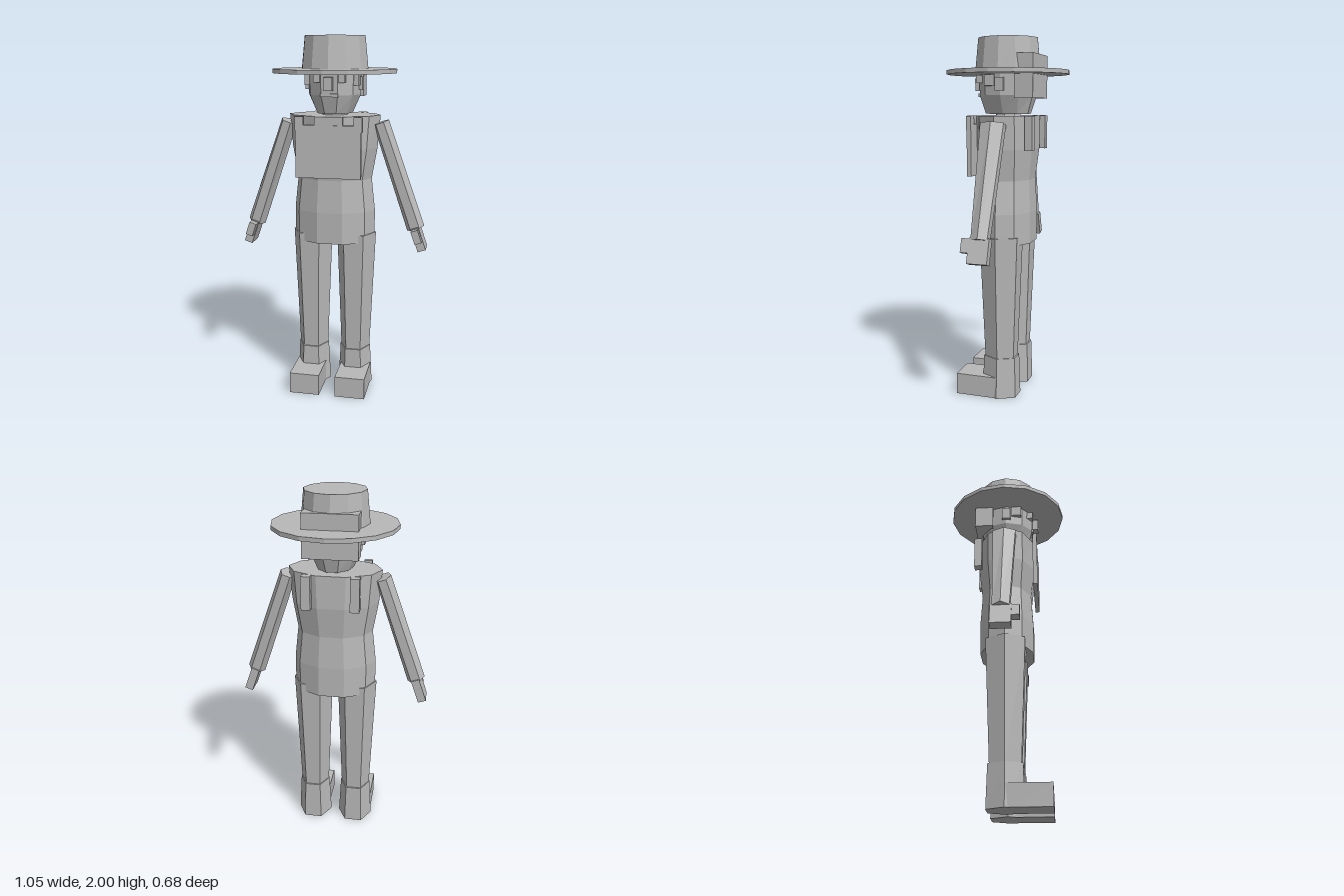
import * as THREE from 'three';

const grey = new THREE.MeshStandardMaterial({ color: 0xb8b8b8, flatShading: true });
grey.name = 'plain grey';

// Faceted solid through rings [y, radiusX, radiusZ, centreX], listed top to bottom
function loft(name, sides, rings) {
  const rows = rings.length - 1;
  const geo = new THREE.CylinderGeometry(1, 1, 1, sides, rows, false, Math.PI / 2);
  const p = geo.attributes.position;
  for (let i = 0; i < p.count; i++) {
    const [y, rx, rz, cx = 0] = rings[Math.round((0.5 - p.getY(i)) * rows)];
    p.setXYZ(i, cx + p.getX(i) * rx, y, p.getZ(i) * rz);
  }
  geo.computeVertexNormals();
  const mesh = new THREE.Mesh(geo, grey);
  mesh.name = name;
  return mesh;
}

// Box given by its limits on each axis
function box(name, x0, x1, y0, y1, z0, z1) {
  const mesh = new THREE.Mesh(new THREE.BoxGeometry(x1 - x0, y1 - y0, z1 - z0), grey);
  mesh.position.set((x0 + x1) / 2, (y0 + y1) / 2, (z0 + z1) / 2);
  mesh.name = name;
  return mesh;
}

// Box placed between mirrored limits on one side
function sideBox(name, s, x0, x1, ...rest) {
  return box(name, Math.min(s * x0, s * x1), Math.max(s * x0, s * x1), ...rest);
}

function createArm(s) {
  const arm = new THREE.Group();
  arm.name = s > 0 ? 'leftArm' : 'rightArm';
  // Built hanging straight down from the shoulder, then swung outwards
  arm.add(
    loft('sleeve', 6, [[0, 0.045, 0.075], [-0.62, 0.05, 0.052]]),
    box('hand', -0.023, 0.023, -0.745, -0.61, -0.055, 0.055),
    sideBox('thumb', s, -0.02, 0.02, -0.69, -0.615, 0.05, 0.097)
  );
  arm.position.set(s * 0.258, 1.54, 0);
  arm.rotation.z = s * 0.335;
  return arm;
}

function createLeg(s) {
  const leg = new THREE.Group();
  leg.name = s > 0 ? 'leftLeg' : 'rightLeg';
  leg.add(
    loft('trouser', 6, [[0.92, 0.112, 0.125, s * 0.126], [0.21, 0.083, 0.095, s * 0.124]]),
    loft('boot', 6, [[0.23, 0.088, 0.105, s * 0.124], [0, 0.1, 0.112, s * 0.124]]),
    sideBox('toe', s, 0.046, 0.216, 0, 0.12, 0, 0.24)
  );
  return leg;
}

export function createModel() {
  const model = new THREE.Group();
  model.name = 'figureInHat';

  // Body
  model.add(
    loft('torso', 10, [
      [1.58, 0.255, 0.168], [1.4, 0.24, 0.168], [1.23, 0.21, 0.147],
      [1.05, 0.23, 0.158], [0.875, 0.23, 0.155]
    ]),
    box('chestPanel', -0.18, 0.176, 1.25, 1.535, 0.157, 0.182),
    box('collar', -0.078, 0.076, 1.535, 1.58, 0.15, 0.178),
    loft('neck', 8, [[1.62, 0.072, 0.072], [1.55, 0.072, 0.072]])
  );

  // Head, face and hat
  model.add(
    loft('head', 10, [[1.82, 0.148, 0.163], [1.69, 0.145, 0.16], [1.59, 0.1, 0.128]]),
    box('nose', -0.025, 0.022, 1.715, 1.785, 0.14, 0.188),
    box('mouth', -0.048, 0.048, 1.682, 1.7, 0.14, 0.16),
    box('backHair', -0.147, 0.147, 1.675, 1.91, -0.183, -0.078),
    loft('hatBrim', 16, [[1.826, 0.34, 0.34], [1.803, 0.34, 0.34]]),
    loft('hatCrown', 12, [[2, 0.167, 0.167], [1.82, 0.185, 0.185]])
  );

  // Mirrored parts
  for (const s of [1, -1]) {
    model.add(
      createArm(s),
      createLeg(s),
      sideBox('eye', s, 0.05, 0.085, 1.757, 1.8, 0.12, 0.158),
      sideBox('ear', s, 0.125, 0.158, 1.715, 1.785, -0.022, 0.027),
      sideBox('sideburn', s, 0.115, 0.148, 1.74, 1.8, 0.033, 0.09),
      sideBox('frontStrap', s, 0.137, 0.182, 1.5, 1.58, 0.157, 0.182),
      sideBox('backStrap', s, 0.105, 0.155, 1.395, 1.58, -0.183, -0.14)
    );
  }
  return model;
}
